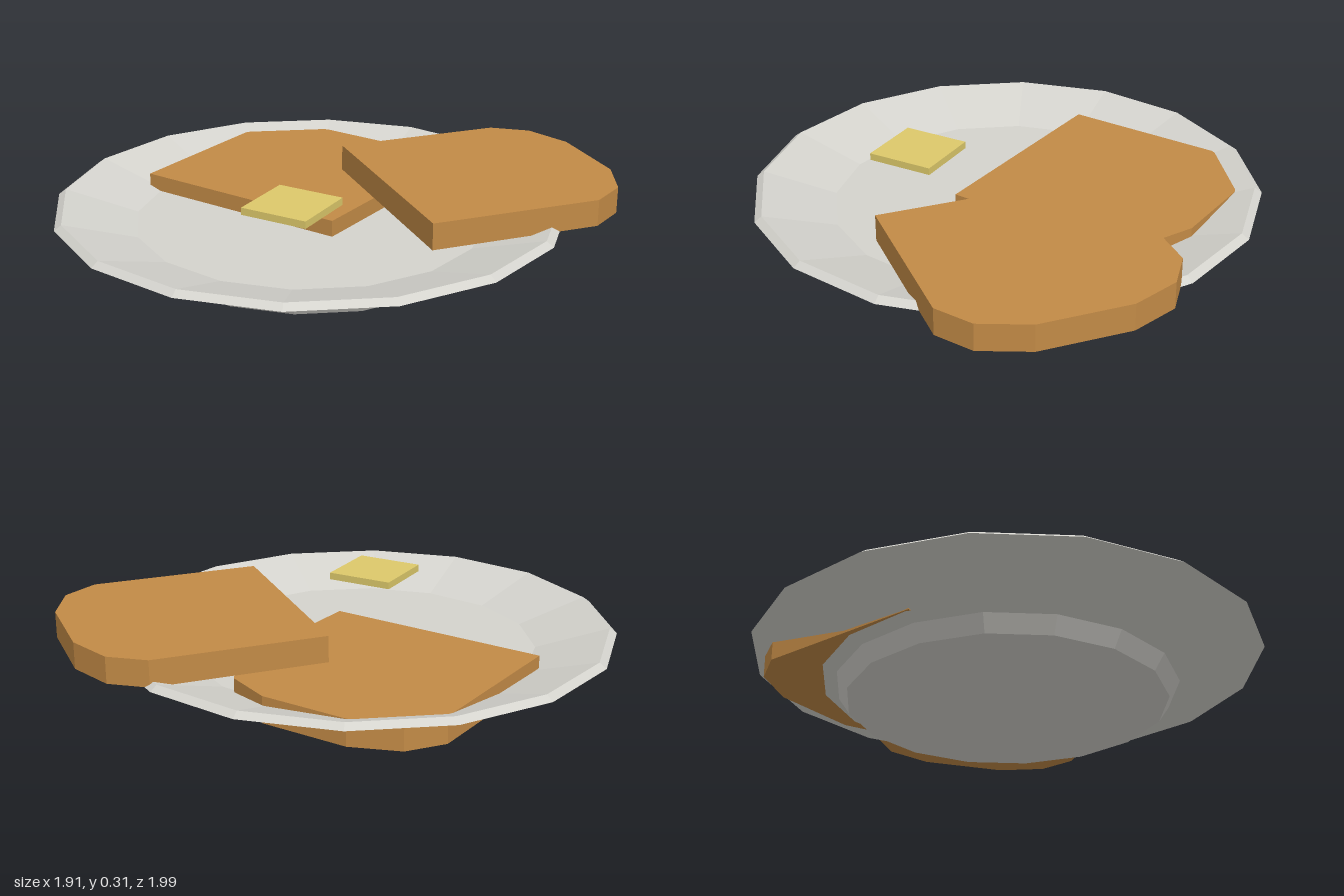
import * as THREE from 'three';

const deg = Math.PI / 180;

// Facet a geometry so every face keeps its own flat normal
function faceted(geometry) {
  const g = geometry.index ? geometry.toNonIndexed() : geometry;
  g.computeVertexNormals();
  return g;
}

export function createModel() {
  const model = new THREE.Group();
  model.name = 'toastPlate';

  const ceramic = new THREE.MeshStandardMaterial({ color: 0xd4d3cd });
  ceramic.name = 'ceramic';
  const bread = new THREE.MeshStandardMaterial({ color: 0xc28a46 });
  bread.name = 'toastedBread';
  const butterYellow = new THREE.MeshStandardMaterial({ color: 0xdcc86a });
  butterYellow.name = 'butterYellow';

  function add(name, geometry, material, x, y, z, turn = 0) {
    const mesh = new THREE.Mesh(faceted(geometry), material);
    mesh.name = name;
    mesh.position.set(x, y, z);
    mesh.rotation.y = turn * deg;
    model.add(mesh);
  }

  // Plate: foot, flared underside, thin rim, sloped inside and flat floor
  const profile = [
    [0, 0], [0.6, 0], [0.64, 0.06], [0.957, 0.18],
    [0.93, 0.2], [0.655, 0.118], [0, 0.118],
  ].map(([r, y]) => new THREE.Vector2(r, y));
  add('plate', new THREE.LatheGeometry(profile, 16), ceramic, 0, 0, 0.036);

  // Bread slice: straight base and sides with a chamfered, domed top
  const half = [[0.435, 0], [0.435, 0.65], [0.347, 0.78], [0.17, 0.853]];
  const outline = [...half, ...half.map(([x, y]) => [-x, y]).reverse()];
  const slice = new THREE.Shape(outline.map(([x, y]) => new THREE.Vector2(x, y)));
  const sliceGeometry = () =>
    new THREE.ExtrudeGeometry(slice, { depth: 0.1, bevelEnabled: false }).rotateX(-90 * deg);

  add('lowerToast', sliceGeometry(), bread, -0.22, 0.08, 0.21, 15);
  add('upperToast', sliceGeometry(), bread, 0.22, 0.18, -0.14, -20);

  // Butter pat
  add('butter', new THREE.BoxGeometry(0.26, 0.027, 0.26), butterYellow, 0.217, 0.2935, 0.297, 20);

  return model;
}
